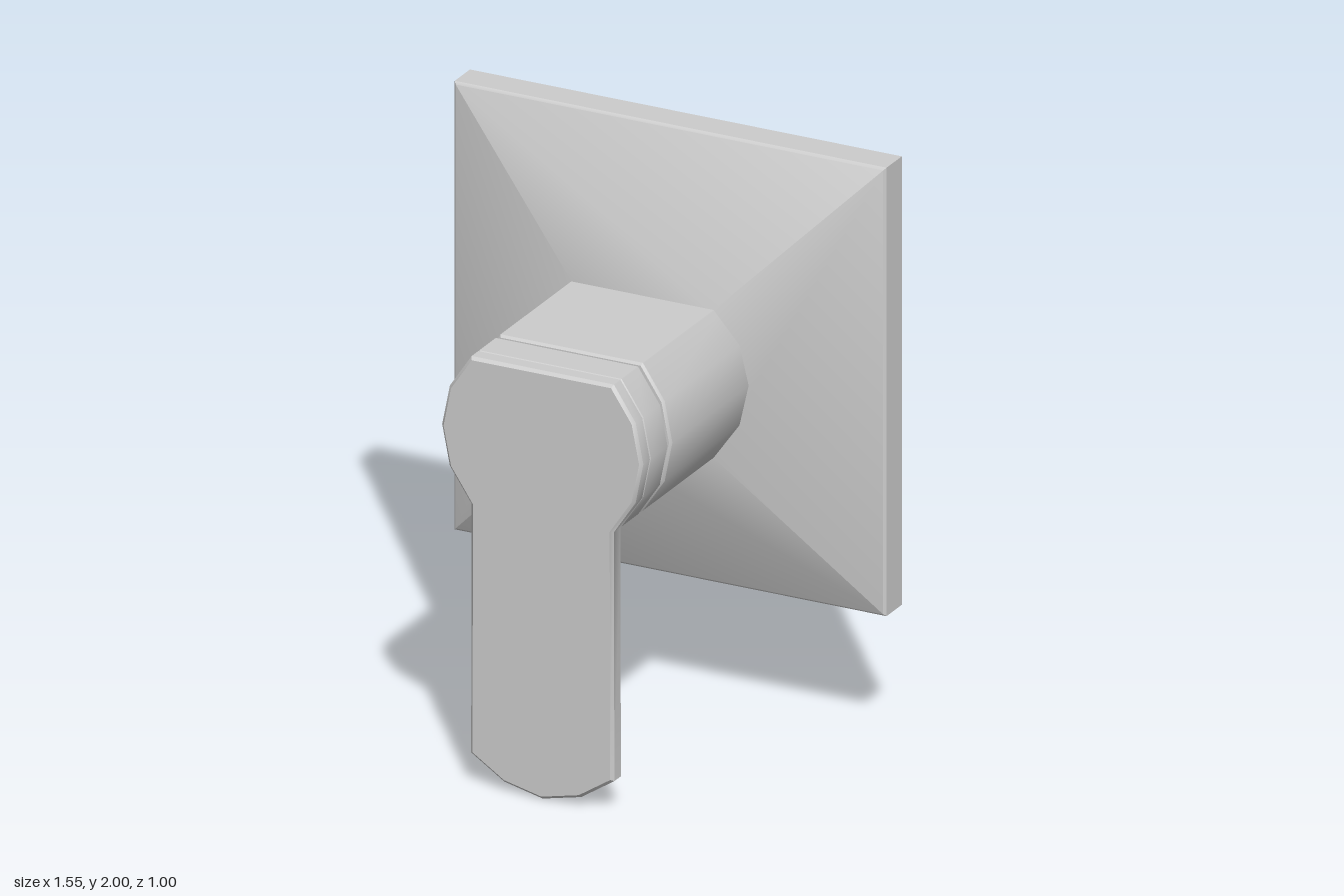
import * as THREE from 'three';
import { toCreasedNormals } from 'three/addons/utils/BufferGeometryUtils.js';

const CENTER_Y = 1.225; // height of the valve axis
const RADIUS = 0.361;
const CREASE = 0.6;

// Points of the 16-sided round outline, from one step to another (22.5 degrees each)
function arc(from, to) {
  const points = [];
  for (let i = from; i <= to; i++) {
    const a = (i * Math.PI) / 8;
    points.push(new THREE.Vector2(RADIUS * Math.cos(a), CENTER_Y + RADIUS * Math.sin(a)));
  }
  return points;
}

// Extrude an outline between two depths with small chamfers inside the outline
function slab(points, back, front, bevel) {
  const geometry = new THREE.ExtrudeGeometry(new THREE.Shape(points), {
    depth: front - back - 2 * bevel,
    bevelEnabled: true,
    bevelSegments: 1,
    bevelSize: bevel,
    bevelThickness: bevel,
    bevelOffset: -bevel,
  });
  geometry.translate(0, 0, back + bevel);
  return toCreasedNormals(geometry, CREASE);
}

export function createModel() {
  const model = new THREE.Group();
  model.name = 'wallMixerValve';

  const metal = new THREE.MeshStandardMaterial({ color: 0xcccccc });
  metal.name = 'satin metal';
  const shell = new THREE.MeshStandardMaterial({ color: 0xcccccc, side: THREE.DoubleSide });
  shell.name = 'satin metal sheet';

  const add = (name, geometry, material) => {
    const mesh = new THREE.Mesh(geometry, material);
    mesh.name = name;
    model.add(mesh);
  };

  // Hollow square wall plate: rim, small chamfer, then a shallow pyramid (half width, z)
  const profile = [[0.775, -0.5], [0.775, -0.395], [0.767, -0.386], [0.25, -0.198]]
    .map(([half, z]) => new THREE.Vector2(half * Math.SQRT2, z));
  const plate = new THREE.LatheGeometry(profile, 4, Math.PI / 4);
  plate.rotateX(Math.PI / 2);
  plate.translate(0, CENTER_Y, 0);
  add('wallPlate', toCreasedNormals(plate, CREASE), shell);

  // Round body with a flat top, passing through the plate
  const round = arc(6, 18);
  add('valveBody', slab(round, -0.3, 0.297, 0.008), metal);

  // Handle hub, separated from the body by a narrow gap
  add('handleHub', slab(round, 0.315, 0.445, 0.008), metal);

  // Front of the handle: round head running down into the flat lever
  const lever = [
    ...arc(-2, 2),
    ...arc(6, 10),
    new THREE.Vector2(-0.257, 0.11),
    new THREE.Vector2(-0.138, 0.032),
    new THREE.Vector2(0, 0),
    new THREE.Vector2(0.138, 0.032),
    new THREE.Vector2(0.257, 0.11),
  ];
  add('handleLever', slab(lever, 0.435, 0.5, 0.01), metal);

  return model;
}
